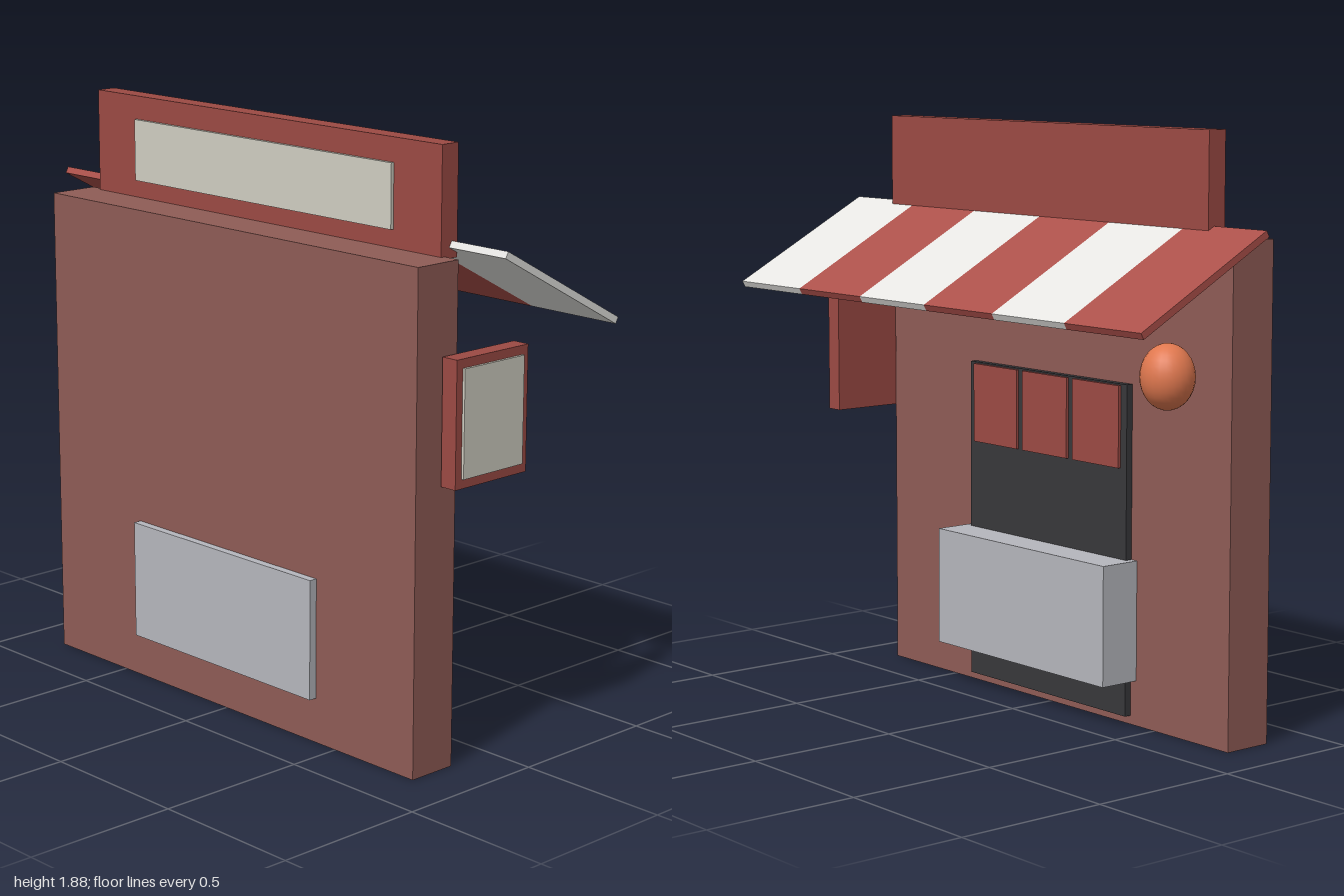
import * as THREE from 'three';

const mat = (color) => new THREE.MeshStandardMaterial({ color });

export function createModel() {
  const model = new THREE.Group();
  const brick = mat(0x8f5c56), red = mat(0x9c4a44), stripeRed = mat(0xab504a);
  const white = mat(0xe6e5e2), cream = mat(0xd0cec2), steel = mat(0xb6b7bd);
  const dark = mat(0x38383b), orange = mat(0xe0784f);

  // Box given by its extents on each axis
  const box = (name, material, [x0, x1], [y0, y1], [z0, z1], parent = model) => {
    const mesh = new THREE.Mesh(new THREE.BoxGeometry(x1 - x0, y1 - y0, z1 - z0), material);
    mesh.position.set((x0 + x1) / 2, (y0 + y1) / 2, (z0 + z1) / 2);
    mesh.name = name;
    parent.add(mesh);
    return mesh;
  };

  // Wall, doorway and the counter that passes through the wall
  box('wall', brick, [-0.833, 0.833], [0, 1.556], [0.163, 0.328]);
  box('doorway', dark, [-0.389, 0.389], [0.028, 1.085], [0.14, 0.18]);
  box('counter', steel, [-0.415, 0.415], [0.145, 0.53], [0.023, 0.355]);

  // Short curtains hanging in the top of the doorway
  for (let i = -1; i <= 1; i++) {
    const x = i * 0.25;
    box('curtain', red, [x - 0.111, x + 0.111], [0.82, 1.08], [0.13, 0.148]);
  }

  // Roof sign with a pale panel
  box('roofSign', red, [-0.778, 0.778], [1.548, 1.885], [0.111, 0.178]);
  box('roofSignPanel', cream, [-0.583, 0.583], [1.612, 1.81], [0.17, 0.189]);

  // Side sign projecting past the wall
  box('sideSign', red, [0.838, 0.895], [0.89, 1.28], [-0.075, 0.228]);
  box('sideSignPanel', cream, [0.885, 0.904], [0.92, 1.252], [-0.05, 0.203]);

  // Sloping awning of six stripes
  const awning = new THREE.Group();
  awning.name = 'awning';
  awning.position.set(0, 1.458, -0.105);
  awning.rotation.x = -0.496;
  for (let i = 0; i < 6; i++) {
    const x = -1 + i / 3;
    box('awningStripe', i % 2 ? white : stripeRed, [x, x + 1 / 3], [-0.011, 0.011], [-0.278, 0.278], awning);
  }
  model.add(awning);

  // Paper lantern beside the door
  const lantern = new THREE.Mesh(new THREE.SphereGeometry(0.085, 24, 16), orange);
  lantern.name = 'lantern';
  lantern.scale.y = 1.2;
  lantern.position.set(-0.665, 1.145, 0.056);
  model.add(lantern);

  return model;
}
